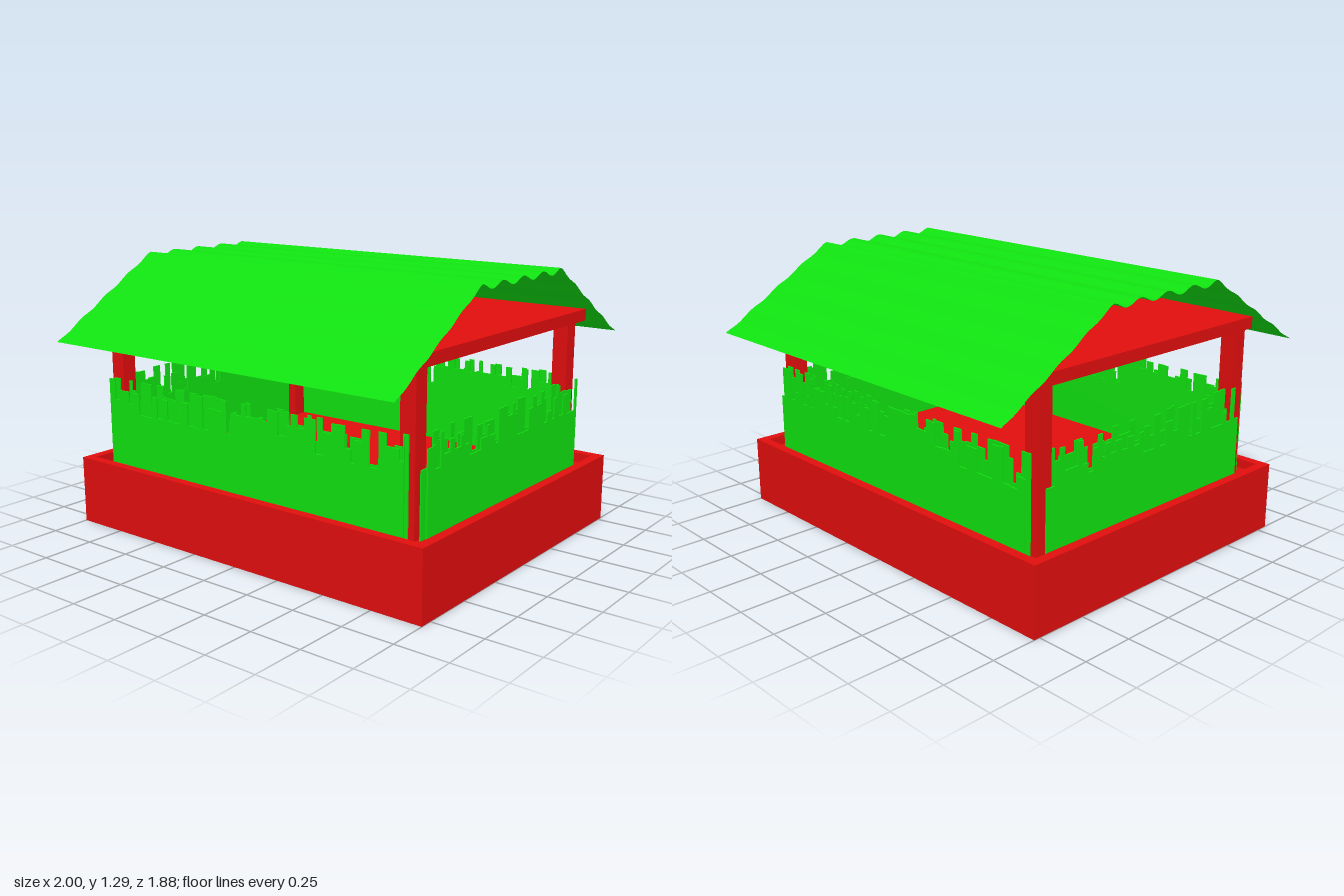
import * as THREE from 'three';
import { toCreasedNormals } from 'three/addons/utils/BufferGeometryUtils.js';

const red = new THREE.MeshStandardMaterial({ color: 0xe00d0d });
const green = new THREE.MeshStandardMaterial({ color: 0x10e010 });
const greenSheet = new THREE.MeshStandardMaterial({ color: 0x10e010, side: THREE.DoubleSide });

function makeRandom(seed) {
  let s = seed;
  return () => (s = (s * 16807) % 2147483647) / 2147483647;
}

// Box given by its lower and upper corners
function box(name, [x0, y0, z0], [x1, y1, z1], mat) {
  const mesh = new THREE.Mesh(new THREE.BoxGeometry(x1 - x0, y1 - y0, z1 - z0), mat);
  mesh.position.set((x0 + x1) / 2, (y0 + y1) / 2, (z0 + z1) / 2);
  mesh.name = name;
  return mesh;
}

// Thin sheet with a ragged, stepped top edge, centred on x = 0
function grassSheet(length, bottom, heights, seed) {
  const rnd = makeRandom(seed);
  const shape = new THREE.Shape();
  shape.moveTo(-length / 2, bottom);
  let x = -length / 2;
  const pts = [];
  while (x < length / 2) {
    const next = Math.min(x + 0.018 + 0.03 * rnd(), length / 2);
    const y = heights[Math.floor(rnd() * heights.length)] + 0.008 * rnd();
    pts.push([x, y], [next, y]);
    x = next;
  }
  pts.reverse();
  shape.lineTo(length / 2, bottom);
  pts.forEach(([px, py]) => shape.lineTo(px, py));
  return new THREE.ExtrudeGeometry(shape, { depth: 0.007, bevelEnabled: false });
}

// Hedge side made of two staggered sheets; local +z faces outwards
function grassSide(name, length, seed) {
  const group = new THREE.Group();
  group.name = name;
  const layers = [
    [-0.037, [0.72, 0.72, 0.67, 0.67, 0.57, 0.62]],
    [-0.007, [0.72, 0.67, 0.62, 0.57, 0.67, 0.72, 0.57]],
  ];
  layers.forEach(([z, heights], i) => {
    const mesh = new THREE.Mesh(grassSheet(length, 0.27, heights, seed + 977 * i), green);
    mesh.name = 'grassSheet';
    mesh.position.z = z;
    group.add(mesh);
  });
  return group;
}

// Roof height across z: scalloped slopes and a rippled flat top
function roofHeight(z) {
  const a = Math.abs(z);
  if (a <= 0.34) return 1.275 + 0.014 * Math.cos((a / 0.17) * Math.PI * 2);
  const t = (a - 0.34) / 0.6;
  return 1.289 - 0.369 * t - 0.008 * Math.sin(t * Math.PI * 4) ** 2;
}

function roofSheet() {
  const x0 = -0.98, x1 = 0.95, steps = 96;
  const geo = new THREE.PlaneGeometry(x1 - x0, 1.88, 1, steps);
  geo.rotateX(-Math.PI / 2);
  geo.translate((x0 + x1) / 2, 0, 0);
  const p = geo.attributes.position;
  for (let i = 0; i < p.count; i++) p.setY(i, roofHeight(p.getZ(i)));
  return toCreasedNormals(geo, 0.5);
}

export function createModel() {
  const model = new THREE.Group();
  model.name = 'gardenShelter';

  // Tray base: floor slab and raised rim
  const base = new THREE.Group();
  base.name = 'base';
  const outline = new THREE.Shape([[-1, -0.81], [1, -0.81], [1, 0.78], [-1, 0.78]]
    .map(([x, y]) => new THREE.Vector2(x, y)));
  outline.holes.push(new THREE.Path([[-0.955, -0.765], [-0.955, 0.735], [0.955, 0.735], [0.955, -0.765]]
    .map(([x, y]) => new THREE.Vector2(x, y))));
  const rim = new THREE.Mesh(
    new THREE.ExtrudeGeometry(outline, { depth: 0.325, bevelEnabled: false }).rotateX(-Math.PI / 2), red);
  rim.name = 'rim';
  base.add(rim, box('floor', [-0.955, 0, -0.735], [0.955, 0.28, 0.765], red));
  model.add(base);

  // Corner posts and the ceiling slab they carry
  for (const x of [-0.9, 0.795]) {
    for (const z of [-0.665, 0.605]) {
      model.add(box('post', [x, 0.27, z], [x + 0.075, 1.0, z + 0.075], red));
    }
  }
  model.add(box('ceiling', [-0.92, 1.0, -0.69], [0.91, 1.055, 0.705], red));

  // Grass hedge on all four sides
  const sides = [
    ['frontGrass', 1.72, -0.01, 0.73, 0],
    ['backGrass', 1.72, -0.01, -0.71, Math.PI],
    ['leftGrass', 1.28, 0.915, 0.015, Math.PI / 2],
    ['rightGrass', 1.28, -0.91, 0.015, -Math.PI / 2],
  ];
  sides.forEach(([name, length, x, z, turn], i) => {
    const side = grassSide(name, length, 1234567 + 54321 * i);
    side.position.set(x, 0, z);
    side.rotation.y = turn;
    model.add(side);
  });

  // Rippled roof sheet
  const roof = new THREE.Mesh(roofSheet(), greenSheet);
  roof.name = 'roof';
  model.add(roof);
  return model;
}
